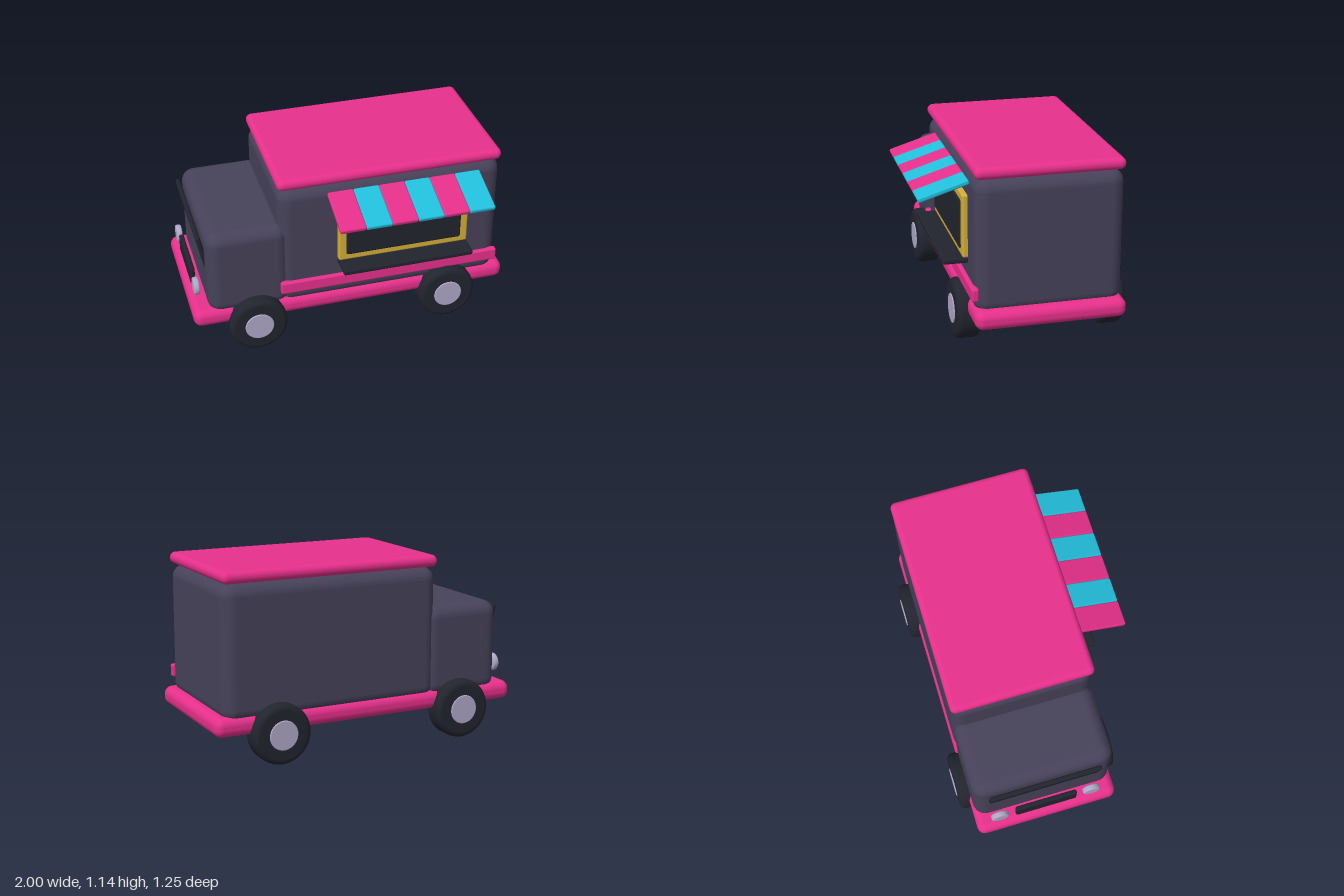
import * as THREE from 'three';
import { RoundedBoxGeometry } from 'three/addons/geometries/RoundedBoxGeometry.js';

const paint = (name, color) => {
  const m = new THREE.MeshStandardMaterial({ color });
  m.name = name;
  return m;
};

export function createModel() {
  const truck = new THREE.Group();
  truck.name = 'foodTruck';

  const slate = paint('slate', 0x47425a);
  const pink = paint('pink', 0xe8308c);
  const cyan = paint('cyan', 0x22c0dc);
  const gold = paint('gold', 0xd4ae38);
  const dark = paint('dark', 0x22242e);
  const silver = paint('silver', 0xb0a8c8);

  const add = (name, geometry, material, parent = truck) => {
    const mesh = new THREE.Mesh(geometry, material);
    mesh.name = name;
    parent.add(mesh);
    return mesh;
  };

  // Rounded box given by its extents on each axis
  const box = (name, material, [x0, x1], [y0, y1], [z0, z1], radius) => {
    const mesh = add(name, new RoundedBoxGeometry(x1 - x0, y1 - y0, z1 - z0, 4, radius), material);
    mesh.position.set((x0 + x1) / 2, (y0 + y1) / 2, (z0 + z1) / 2);
    return mesh;
  };

  // Disc with rounded rims, its axis along y
  const disc = (radius, width, bevel) => {
    const h = width / 2;
    const points = [new THREE.Vector2(0, -h)];
    for (const side of [-1, 1]) {
      for (let i = 0; i <= 5; i++) {
        const a = (side < 0 ? i - 5 : i) * Math.PI / 10;
        points.push(new THREE.Vector2(
          radius - bevel + bevel * Math.cos(a),
          side * (h - bevel) + bevel * Math.sin(a)));
      }
    }
    points.push(new THREE.Vector2(0, h));
    return new THREE.LatheGeometry(points, 40);
  };

  // Shell
  box('chassis', pink, [-1, 1], [0.19, 0.306], [-0.56, 0.34], 0.05);
  box('body', slate, [-0.457, 0.94], [0.26, 1.075], [-0.548, 0.328], 0.08);
  box('cab', slate, [-0.9, -0.39], [0.26, 0.83], [-0.548, 0.328], 0.08);
  box('roof', pink, [-0.46, 0.94], [1.075, 1.147], [-0.548, 0.33], 0.035);
  box('sideStripe', pink, [-0.458, 0.94], [0.355, 0.435], [0.31, 0.353], 0.012);

  // Serving window
  box('windowFrame', gold, [-0.096, 0.73], [0.545, 0.928], [0.31, 0.359], 0.012);
  box('windowOpening', dark, [-0.05, 0.683], [0.585, 0.887], [0.33, 0.37], 0.015);
  box('counter', dark, [-0.096, 0.73], [0.512, 0.547], [0.31, 0.476], 0.012);

  // Striped awning
  const awning = new THREE.Group();
  awning.name = 'awning';
  awning.position.set(0.315, 0.981, 0.477);
  awning.rotation.x = 0.3;
  truck.add(awning);
  const stripWidth = 0.159;
  const strip = new RoundedBoxGeometry(stripWidth, 0.03, 0.307, 3, 0.01);
  for (let i = 0; i < 6; i++) {
    add('awningStrip', strip, i % 2 ? cyan : pink, awning).position.x = (i - 2.5) * stripWidth;
  }

  // Windscreen, leaning forward at the top
  const windscreen = box('windscreen', dark, [-0.93, -0.9], [0.56, 0.79], [-0.46, 0.235], 0.013);
  windscreen.position.set(-0.91, 0.677, -0.112);
  windscreen.rotation.z = 0.2;

  // Grille and headlights
  box('grille', dark, [-0.97, -0.94], [0.345, 0.465], [-0.31, 0.083], 0.012);
  const lamp = disc(0.056, 0.037, 0.012);
  for (const z of [-0.41, 0.18]) {
    const light = add('headlight', lamp, silver);
    light.position.set(-0.955, 0.405, z);
    light.rotation.z = Math.PI / 2;
  }

  // Wheels
  const tyre = disc(0.182, 0.146, 0.034);
  const hub = disc(0.09, 0.158, 0.006);
  for (const x of [-0.612, 0.608]) {
    for (const z of [-0.549, 0.328]) {
      const wheel = new THREE.Group();
      wheel.name = 'wheel';
      wheel.position.set(x, 0.184, z);
      wheel.rotation.x = Math.PI / 2;
      truck.add(wheel);
      add('tyre', tyre, dark, wheel);
      add('hub', hub, silver, wheel);
    }
  }

  return truck;
}
